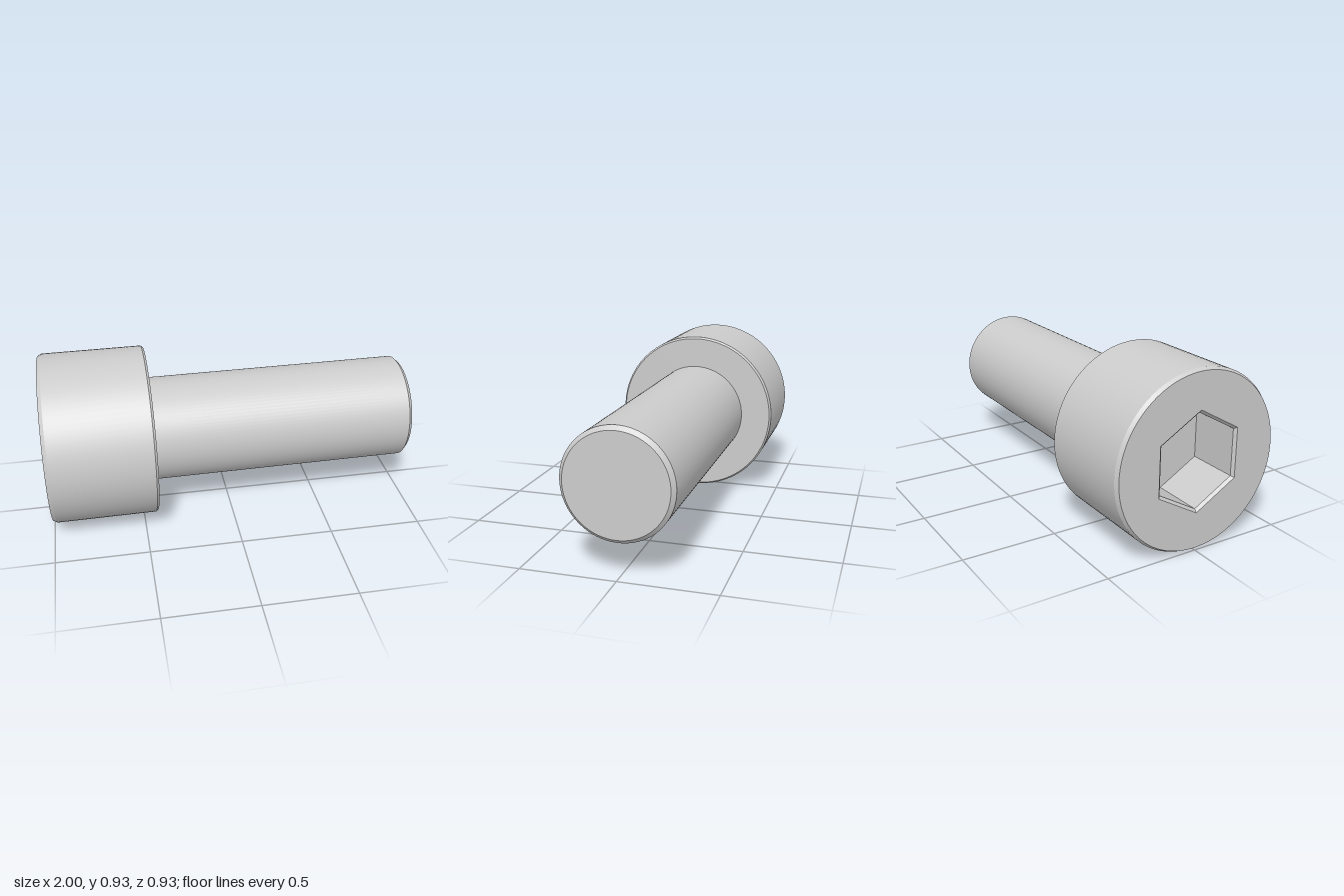
import * as THREE from 'three';
import { toCreasedNormals } from 'three/addons/utils/BufferGeometryUtils.js';

const SEGMENTS = 96;
const HEAD_R = 0.462, FACE_R = 0.45, SHANK_R = 0.284;
const FACE = -1, UNDERSIDE = -0.432, TIP = 1;
const MOUTH_R = 0.262, SOCKET_R = 0.246, SOCKET_FLOOR = -0.71;

const material = new THREE.MeshStandardMaterial({ color: 0xcccccc });

// Revolve a [radius, axial position] profile around the screw axis
function turned(name, profile, segments = SEGMENTS, start = 0) {
  const points = profile.map(([r, a]) => new THREE.Vector2(r, a));
  const geometry = toCreasedNormals(new THREE.LatheGeometry(points, segments, start), 0.4);
  const mesh = new THREE.Mesh(geometry, material);
  mesh.name = name;
  return mesh;
}

export function createModel() {
  const screw = new THREE.Group();
  screw.name = 'socketHeadScrew';

  // Cylindrical head with chamfered rims
  screw.add(turned('head', [
    [FACE_R, FACE], [HEAD_R, FACE + 0.02],
    [HEAD_R, UNDERSIDE - 0.012], [0.452, UNDERSIDE], [SHANK_R - 0.004, UNDERSIDE],
  ]));

  // Plain shank with a chamfered tip
  screw.add(turned('shank', [
    [SHANK_R, UNDERSIDE], [SHANK_R, TIP - 0.021], [SHANK_R - 0.021, TIP], [0, TIP],
  ]));

  // Flat end of the head, pierced by the hexagon
  const face = new THREE.Shape().absarc(0, 0, FACE_R, 0, Math.PI * 2, false);
  const hexagon = Array.from({ length: 6 }, (_, i) => new THREE.Vector2(
    MOUTH_R * Math.cos(i * Math.PI / 3), MOUTH_R * Math.sin(i * Math.PI / 3)));
  face.holes.push(new THREE.Path(hexagon));
  const headFace = new THREE.Mesh(
    new THREE.ShapeGeometry(face, SEGMENTS).rotateX(Math.PI / 2).translate(0, FACE, 0), material);
  headFace.name = 'headFace';
  screw.add(headFace);

  // Hexagonal socket: floor, walls and bevelled mouth, facing inwards
  screw.add(turned('hexSocket', [
    [0, SOCKET_FLOOR], [SOCKET_R, SOCKET_FLOOR], [SOCKET_R, FACE + 0.014], [MOUTH_R, FACE],
  ], 6, Math.PI / 6));

  // Lay the axis along x, with the tip raised very slightly
  screw.rotation.set(0, 0.003, -Math.PI / 2 + 0.005, 'YZX');
  screw.position.set(0, 0.469, -0.002);

  const model = new THREE.Group();
  model.name = 'screw';
  model.add(screw);
  return model;
}
